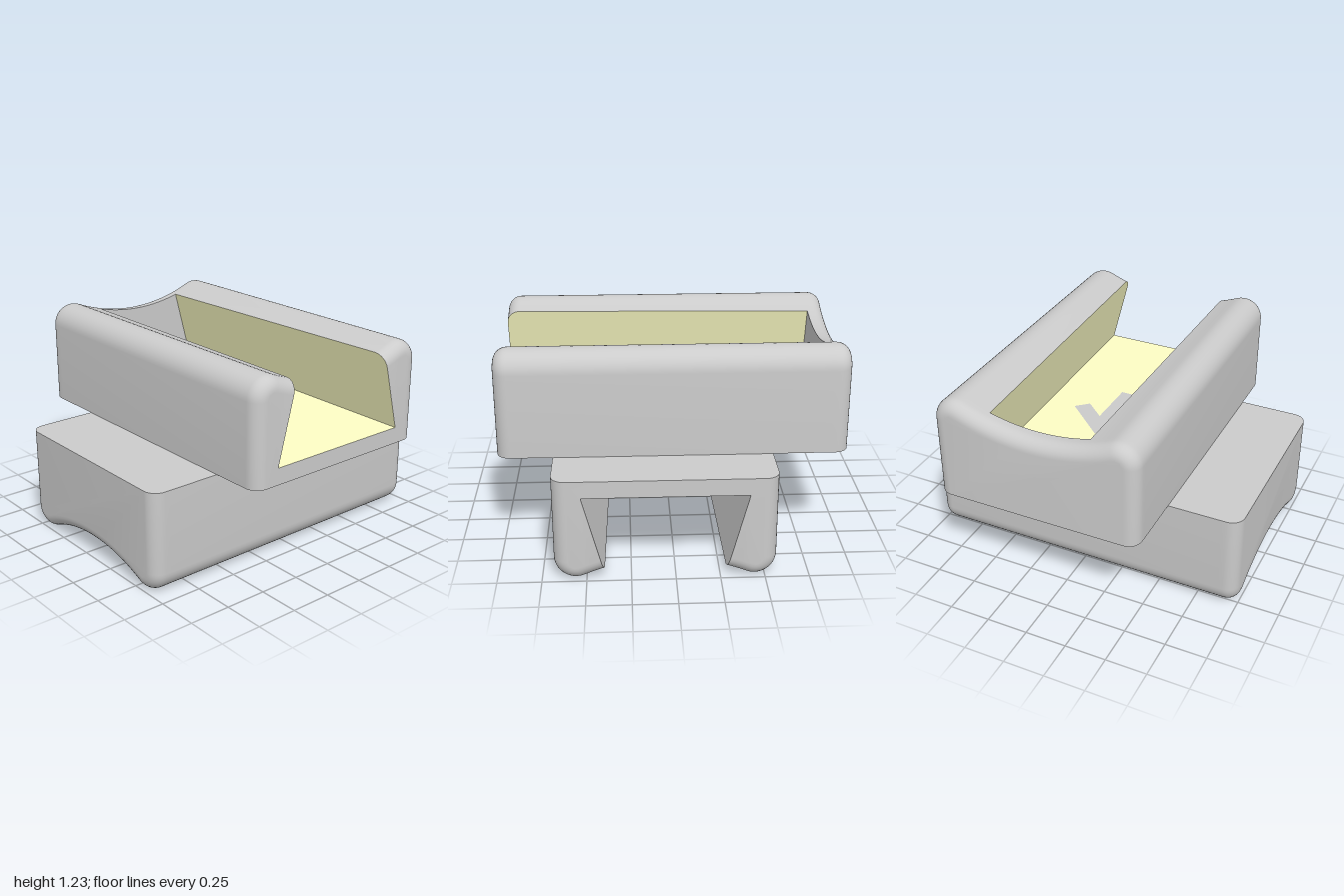
import * as THREE from 'three';
import { mergeGeometries, toCreasedNormals } from 'three/addons/utils/BufferGeometryUtils.js';

const HALF = 0.625;               // half width of a block
const CORNER = 0.125, CY = 0.49;  // rounded shoulder: radius and centre height
const DISH = 1.14, DY = 1.652;    // dished top: radius and centre height
const FILLET = 0.08;              // rounding of the block ends
const WALL = -0.89;               // z of the closed end of the slot
const OFFSET = 0.058, MID = 0.615;

// Tapered dovetail slot: floor height and half width along z
const along = (z) => (Math.max(z, WALL) - WALL) / (1 - WALL);
const floorY = (z) => 0.13 - 0.03 * along(z);
const floorX = (z) => 0.417 + 0.046 * along(z);
const dishY = (x, inset) => DY - Math.sqrt((DISH + inset) ** 2 - x * x);

// Where the slot wall meets the dished top
function rim(z, inset) {
  let y = 0.55;
  let x = 0;
  for (let i = 0; i < 12; i++) {
    x = floorX(z) - 0.26 * (y - floorY(z));
    y = dishY(x, inset);
  }
  return [x, y];
}

// Half outline from the base up over the shoulder to the slot rim
function halfOutline(z, inset) {
  const pts = [[HALF - inset, 0]];
  const tangent = Math.atan2(0.5, DY - CY);
  const r = CORNER - inset;
  for (let i = 0; i <= 12; i++) {
    const a = (i / 12) * (Math.PI / 2 + tangent);
    pts.push([0.5 + r * Math.cos(a), CY + r * Math.sin(a)]);
  }
  const x0 = pts[pts.length - 1][0];
  const end = rim(z, inset);
  for (let i = 1; i < 4; i++) {
    const x = x0 + (end[0] - x0) * (i / 4);
    pts.push([x, dishY(x, inset)]);
  }
  pts.push(end);
  return pts;
}

const mirrored = (pts) => pts.map(([x, y]) => [-x, y]).reverse();

// Left rim, down, across the base, and up to the right rim
function outerRow({ z, inset }) {
  const half = halfOutline(z, inset);
  return [...mirrored(half), ...half];
}

// Dished strip between the rims, right to left
function dishRow({ z, inset }) {
  const x0 = rim(z, inset)[0];
  return Array.from({ length: 17 }, (_, i) => {
    const x = x0 * (1 - i / 8);
    return [x, dishY(x, inset)];
  });
}

// Slot wall, floor and wall, right to left
function slotRow({ z, inset }) {
  const half = [rim(z, inset), [floorX(z), floorY(z)]];
  return [...half, ...mirrored(half)];
}

// Skin through cross-sections at successive stations
function skin(stations, rowOf) {
  const rows = stations.map((s) => rowOf(s).map(([x, y]) => [x, y, s.z]));
  const pos = [];
  for (let j = 0; j + 1 < rows.length; j++) {
    for (let i = 0; i + 1 < rows[j].length; i++) {
      const a = rows[j][i], b = rows[j][i + 1];
      const c = rows[j + 1][i], d = rows[j + 1][i + 1];
      pos.push(...a, ...b, ...d, ...a, ...d, ...c);
    }
  }
  const g = new THREE.BufferGeometry();
  g.setAttribute('position', new THREE.Float32BufferAttribute(pos, 3));
  return g;
}

// Flat face in a plane of constant z
function face(pts, z, backward = false) {
  const g = new THREE.ShapeGeometry(
    new THREE.Shape(pts.map(([x, y]) => new THREE.Vector2(x, y)))).toNonIndexed();
  g.deleteAttribute('uv');
  g.deleteAttribute('normal');
  if (backward) g.rotateY(Math.PI);
  return g.translate(0, 0, z);
}

// Arrow lying on the sloping slot floor
function arrowGeometry() {
  const half = [[0, 0.24], [0.258, 0.005], [0.185, -0.065], [0.063, 0.045], [0.063, -0.285]];
  const pts = [...half, ...mirrored(half.slice(1))];
  const g = face(pts, 0).rotateX(-Math.PI / 2);
  const p = g.attributes.position;
  for (let i = 0; i < p.count; i++) p.setY(i, floorY(p.getZ(i)) + 0.003);
  g.computeVertexNormals();
  return g;
}

function createBlock(name, grey, slotMaterial) {
  const ends = [];
  for (let i = 0; i <= 8; i++) {
    const a = (i / 8) * Math.PI / 2;
    ends.push({ z: 1 - FILLET * (1 - Math.cos(a)), inset: FILLET * (1 - Math.sin(a)) });
  }
  const wall = { z: WALL, inset: 0 };
  const back = [...ends.map((s) => ({ z: -s.z, inset: s.inset })), wall];
  const front = [wall, ...ends.slice().reverse()];
  const first = back[0], last = ends[0];

  const body = mergeGeometries([
    skin([...back, ...front.slice(1)], outerRow),
    skin(back, dishRow),
    face([...outerRow(last), ...slotRow(last).slice(1, -1)], 1),
    face([...outerRow(first), ...dishRow(first).slice(1, -1)], -1, true),
    face([...slotRow(wall), ...dishRow(wall).reverse().slice(1, -1)], WALL),
  ]);

  const block = new THREE.Group();
  block.name = name;
  const add = (part, geometry, material) => {
    const mesh = new THREE.Mesh(geometry, material);
    mesh.name = part;
    block.add(mesh);
  };
  add('blockBody', toCreasedNormals(body, 0.5), grey);
  add('slotLining', toCreasedNormals(skin(front, slotRow), 0.5), slotMaterial);
  add('directionArrow', arrowGeometry(), grey);
  return block;
}

export function createModel() {
  const grey = new THREE.MeshStandardMaterial({ color: 0xcccccc });
  const yellow = new THREE.MeshStandardMaterial({ color: 0xfdfdc5 });
  const model = new THREE.Group();
  model.name = 'crossedSlideAdapter';

  // Upper block, slot open to the front
  const upper = createBlock('upperBlock', grey, yellow);
  upper.position.set(OFFSET, MID, 0);

  // Lower block, upside down and crosswise, slot open to +x
  const lower = createBlock('lowerBlock', grey, grey);
  lower.quaternion.setFromRotationMatrix(new THREE.Matrix4().makeBasis(
    new THREE.Vector3(0, 0, 1), new THREE.Vector3(0, -1, 0), new THREE.Vector3(1, 0, 0)));
  lower.position.set(0, MID, OFFSET);

  model.add(upper, lower);
  return model;
}
